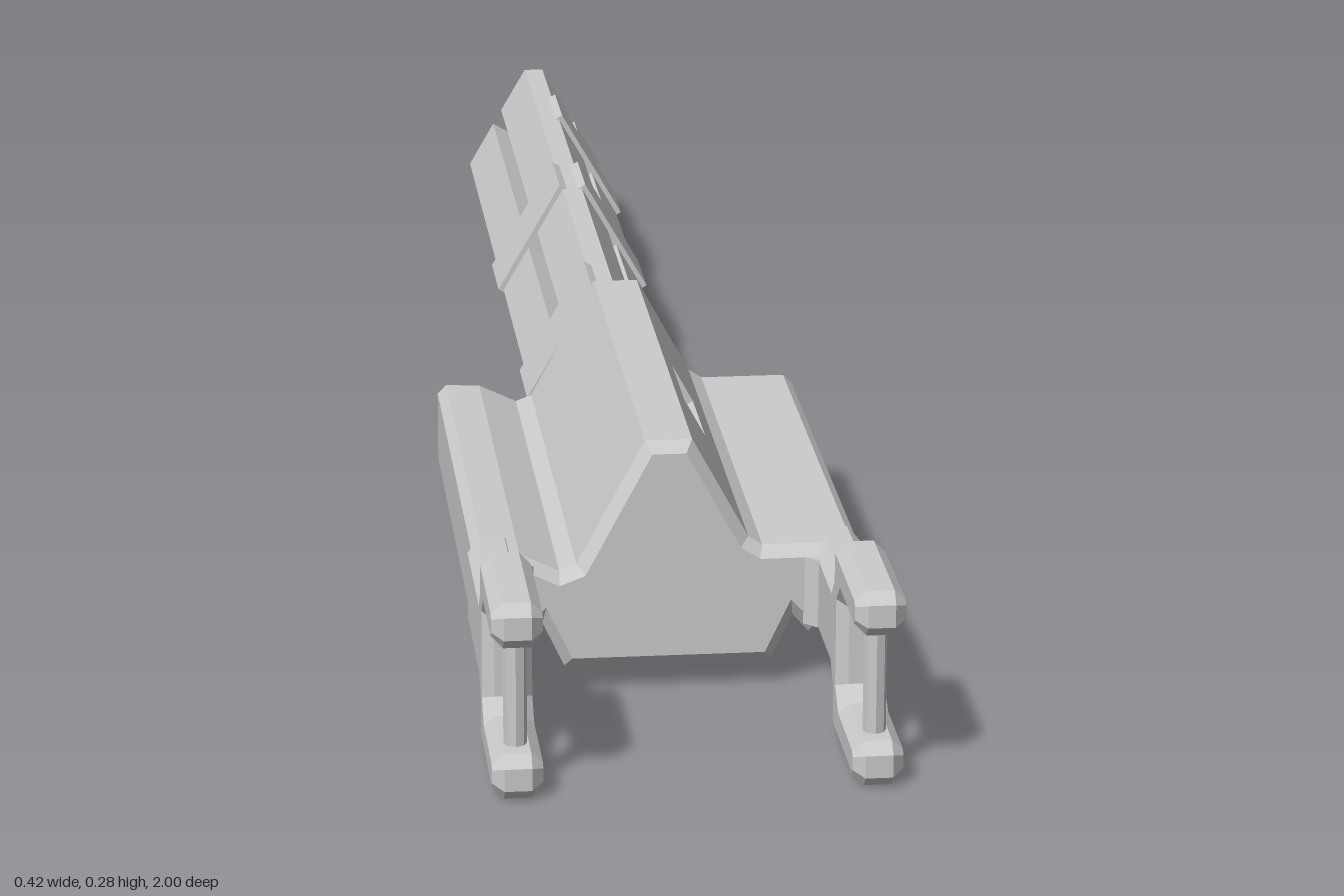
import * as THREE from 'three';

const grey = new THREE.MeshStandardMaterial({ color: 0xcccccc, flatShading: true });

function add(parent, name, geometry) {
  const mesh = new THREE.Mesh(geometry, grey);
  mesh.name = name;
  parent.add(mesh);
  return mesh;
}

// Move every edge of a counter-clockwise outline inwards by d
function inset(points, d) {
  const n = points.length;
  const normal = (a, b) => {
    const l = Math.hypot(b[0] - a[0], b[1] - a[1]);
    return [-(b[1] - a[1]) / l, (b[0] - a[0]) / l];
  };
  return points.map((p, i) => {
    const m = normal(points[(i + n - 1) % n], p);
    const k = normal(p, points[(i + 1) % n]);
    const s = d / (1 + m[0] * k[0] + m[1] * k[1]);
    return [p[0] + (m[0] + k[0]) * s, p[1] + (m[1] + k[1]) * s];
  });
}

// Skin a list of [z, outline] sections, ordered front to back, with end caps
function loft(sections) {
  const pos = [];
  const put = (s, i) => pos.push(s[1][i][0], s[1][i][1], s[0]);
  for (let k = 0; k < sections.length - 1; k++) {
    const f = sections[k], b = sections[k + 1], n = f[1].length;
    for (let i = 0; i < n; i++) {
      const j = (i + 1) % n;
      put(f, i); put(b, i); put(f, j);
      put(f, j); put(b, i); put(b, j);
    }
  }
  const cap = (s, flip) => {
    const contour = s[1].map(p => new THREE.Vector2(p[0], p[1]));
    for (const t of THREE.ShapeUtils.triangulateShape(contour, [])) {
      (flip ? [t[0], t[2], t[1]] : t).forEach(i => put(s, i));
    }
  };
  cap(sections[0], false);
  cap(sections[sections.length - 1], true);
  const g = new THREE.BufferGeometry();
  g.setAttribute('position', new THREE.Float32BufferAttribute(pos, 3));
  g.computeVertexNormals();
  return g;
}

// Receiver body outline; the four slot points lie on the left slope
const bodyOutline = slot => [
  [-0.11, 0.028], [0.11, 0.028], [0.133, 0.077], [0.15, 0.058], [0.195, 0.058],
  [0.205, 0.068], [0.205, 0.147], [0.195, 0.157], [0.1, 0.157], [0.085, 0.167],
  ...slot,
  [0.025, 0.277], [-0.025, 0.277], [-0.097, 0.142], [-0.115, 0.135], [-0.157, 0.155],
  [-0.195, 0.157], [-0.205, 0.147], [-0.205, 0.068], [-0.195, 0.058], [-0.15, 0.058],
  [-0.133, 0.077],
];

function createBody() {
  const plain = bodyOutline([[0.0643, 0.205], [0.0561, 0.22], [0.049, 0.233], [0.0408, 0.248]]);
  const slotted = bodyOutline([[0.0643, 0.205], [0.0467, 0.1954], [0.0232, 0.2384], [0.0408, 0.248]]);
  const small = inset(plain, 0.012);
  return loft([
    [0.71, small], [0.698, plain], [0.48, plain], [0.48, slotted],
    [0.36, slotted], [0.36, plain], [0.132, plain], [0.12, small],
  ]);
}

// Forked arm, drawn in (z, y) and extruded across x
function createFork() {
  const outline = [
    [0.65, 0.06], [0.815, 0.06], [0.83, 0.045], [0.83, 0.012], [0.842, 0], [0.988, 0],
    [1, 0.012], [1, 0.036], [0.988, 0.048], [0.885, 0.048], [0.868, 0.063],
    [0.868, 0.147], [0.885, 0.162], [0.988, 0.162], [1, 0.174], [1, 0.198],
    [0.988, 0.21], [0.842, 0.21], [0.83, 0.198], [0.83, 0.172], [0.815, 0.157], [0.65, 0.157],
  ];
  const shape = new THREE.Shape(outline.map(p => new THREE.Vector2(p[0], p[1])));
  const g = new THREE.ExtrudeGeometry(shape, {
    depth: 0.028, bevelEnabled: true, bevelThickness: 0.012, bevelSize: 0.012,
    bevelOffset: -0.012, bevelSegments: 1,
  });
  g.translate(0, 0, -0.014);
  g.rotateY(-Math.PI / 2);
  return g;
}

export function createModel() {
  const model = new THREE.Group();
  model.name = 'barrelAssembly';
  add(model, 'body', createBody());

  // Forked arms with pins, mirrored
  for (const side of [1, -1]) {
    const arm = new THREE.Group();
    arm.name = side > 0 ? 'leftFork' : 'rightFork';
    arm.position.x = side * 0.183;
    model.add(arm);
    add(arm, 'forkArm', createFork());
    const pin = add(arm, 'forkPin', new THREE.CylinderGeometry(0.012, 0.012, 0.14, 8));
    pin.position.set(0, 0.105, 0.958);
    const fillet = add(arm, 'forkFillet', new THREE.BoxGeometry(0.02, 0.075, 0.02));
    fillet.position.set(-side * 0.026, 0.108, 0.709);
    fillet.rotation.y = Math.PI / 4;
  }

  // Three kite-shaped barrels around a common axis
  const barrels = new THREE.Group();
  barrels.name = 'barrels';
  barrels.position.y = 0.137;
  model.add(barrels);
  const kite = [[0, 0.013], [0.044, 0.038], [0.012, 0.093], [-0.012, 0.093], [-0.044, 0.038]];
  const tip = inset(kite, 0.009);
  for (let i = 0; i < 3; i++) {
    const barrel = add(barrels, 'barrel', loft([[0.14, kite], [-0.985, kite], [-1, tip]]));
    barrel.rotation.z = i * Math.PI * 2 / 3;
  }

  // Clamp plates: [side of the bundle, z]; 0 bottom, 1 left, 2 right
  const clamps = [[0, -0.03], [0, -0.46], [1, -0.46], [1, -0.785], [2, -0.03], [2, -0.46]];
  for (const [face, z] of clamps) {
    const holder = new THREE.Group();
    holder.name = 'clamp';
    holder.rotation.z = face * Math.PI * 2 / 3;
    barrels.add(holder);
    const plate = add(holder, 'clampPlate', new THREE.BoxGeometry(0.154, 0.026, 0.105));
    plate.position.set(0, -0.05, z);
  }
  return model;
}
